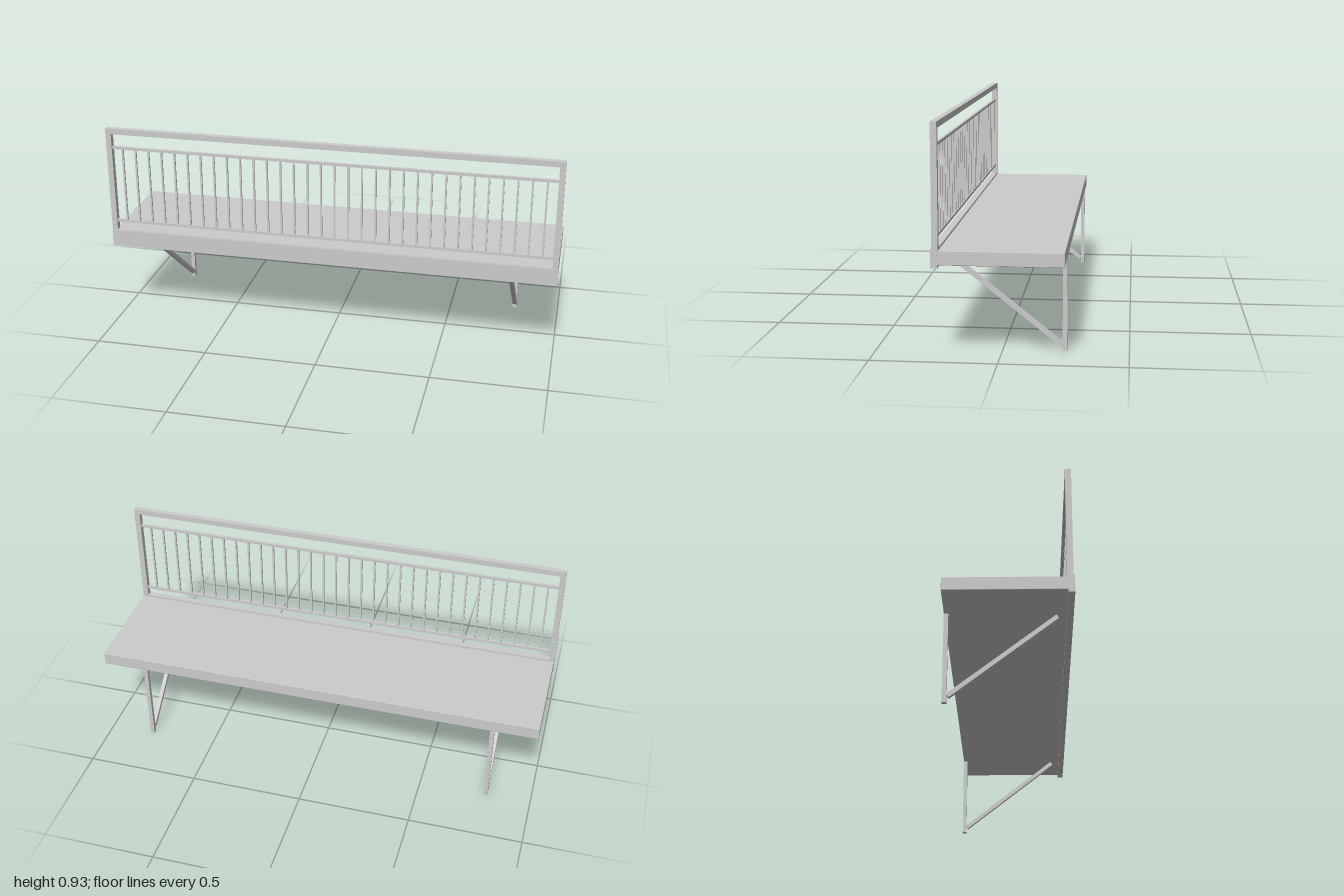
import * as THREE from 'three';
import { RoundedBoxGeometry } from 'three/addons/geometries/RoundedBoxGeometry.js';

export function createModel() {
  const model = new THREE.Group();
  model.name = 'balcony';
  const material = new THREE.MeshStandardMaterial({ color: 0xcccccc });

  const add = (name, geometry, x, y, z, parent = model) => {
    const mesh = new THREE.Mesh(geometry, material);
    mesh.name = name;
    mesh.position.set(x, y, z);
    parent.add(mesh);
    return mesh;
  };
  // Box given by its lower and upper limits on each axis
  const block = (name, [x0, x1], [y0, y1], [z0, z1], parent = model) =>
    add(name, new THREE.BoxGeometry(x1 - x0, y1 - y0, z1 - z0),
      (x0 + x1) / 2, (y0 + y1) / 2, (z0 + z1) / 2, parent);

  // Floor slab with softened edges, and the fascia along its front
  add('floorSlab', new RoundedBoxGeometry(1.998, 0.057, 0.49, 1, 0.003), 0, 0.4075, -0.01);
  block('frontFascia', [-1, 1], [0.367, 0.443], [0.229, 0.255]);

  // Outer frame of the railing
  const railing = new THREE.Group();
  railing.name = 'railing';
  model.add(railing);
  const depth = [0.225, 0.25];
  block('topRail', [-1, 1], [0.9, 0.925], depth, railing);
  block('bottomRail', [-0.975, 0.975], [0.42, 0.445], depth, railing);
  for (const side of [-1, 1]) {
    const inner = side * 0.975, outer = side;
    block('cornerPost', [Math.min(inner, outer), Math.max(inner, outer)], [0.42, 0.9], depth, railing);
  }

  // Thin inner rails and the balusters between them
  const railZ = 0.2375;
  const lowY = 0.487, highY = 0.835;
  for (const y of [lowY, highY]) {
    add('innerRail', new THREE.BoxGeometry(1.95, 0.012, 0.012), 0, y, railZ, railing);
  }
  const barGeometry = new THREE.BoxGeometry(0.008, highY - lowY, 0.008);
  const bars = 32;
  for (let i = 0; i < bars; i++) {
    add('baluster', barGeometry, (i - (bars - 1) / 2) * 0.06, (lowY + highY) / 2, railZ, railing);
  }

  // Wall uprights with diagonal braces
  const low = new THREE.Vector3(0, 0.027, -0.234);
  const high = new THREE.Vector3(0, 0.366, 0.193);
  const span = high.clone().sub(low);
  for (const side of [-1, 1]) {
    const bracket = new THREE.Group();
    bracket.name = side > 0 ? 'leftBracket' : 'rightBracket';
    bracket.position.x = side * 0.8;
    model.add(bracket);
    block('wallUpright', [-0.009, 0.009], [0, 0.38], [-0.255, -0.237], bracket);
    const brace = add('diagonalBrace', new THREE.BoxGeometry(0.018, span.length(), 0.018),
      0, (low.y + high.y) / 2, (low.z + high.z) / 2, bracket);
    brace.rotation.x = Math.atan2(span.z, span.y);
  }

  return model;
}
